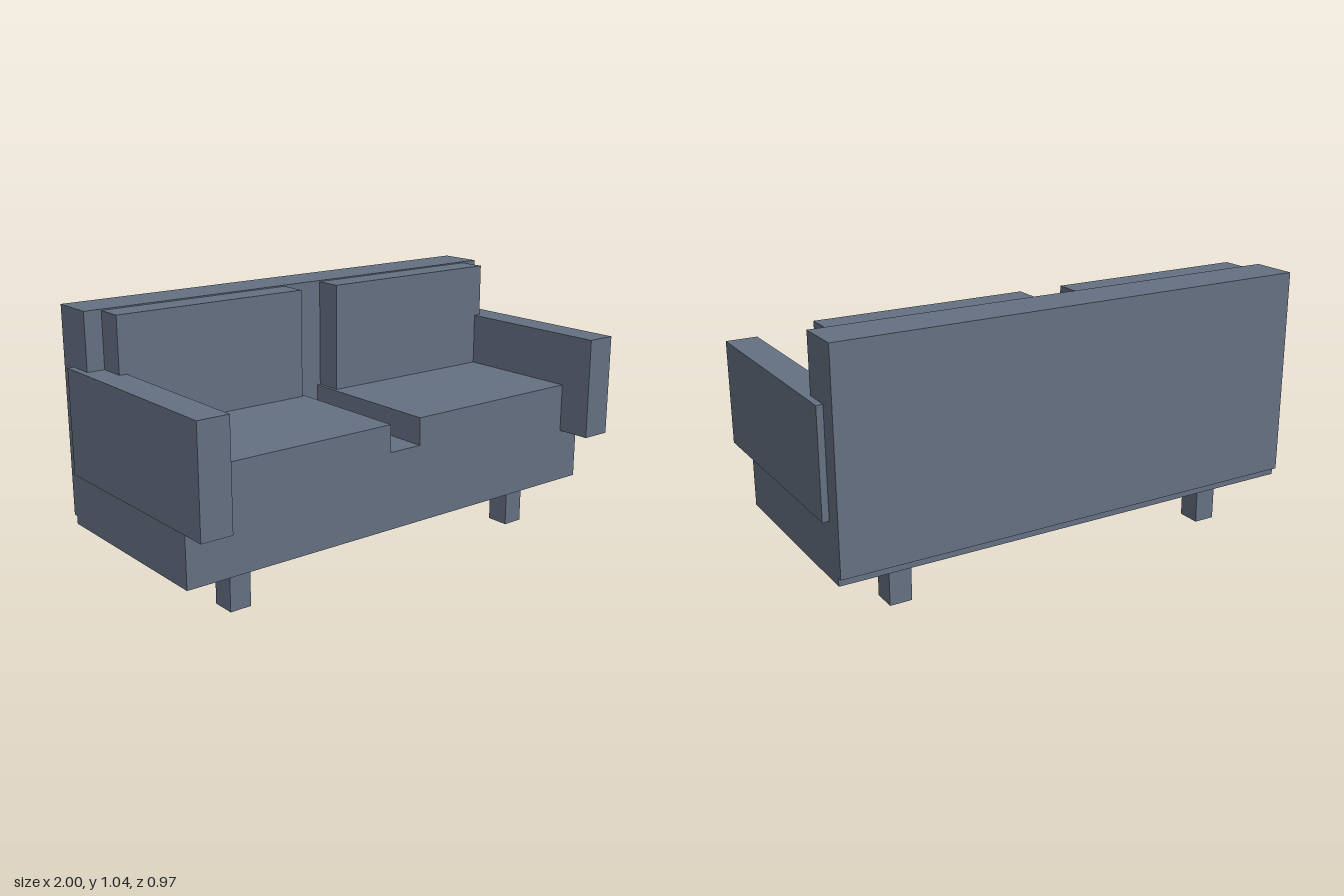
import * as THREE from 'three';

export function createModel() {
  const group = new THREE.Group();
  const fabric = new THREE.MeshStandardMaterial({ color: 0x647082 });
  fabric.name = 'slate blue fabric';

  // Box given by its minimum and maximum on each axis
  function addBox(name, [x0, x1], [y0, y1], [z0, z1]) {
    const mesh = new THREE.Mesh(new THREE.BoxGeometry(x1 - x0, y1 - y0, z1 - z0), fabric);
    mesh.position.set((x0 + x1) / 2, (y0 + y1) / 2, (z0 + z1) / 2);
    mesh.name = name;
    group.add(mesh);
  }

  // The same box on the left (+x) and right (-x)
  function addPair(name, [x0, x1], y, z) {
    addBox(`${name}Left`, [x0, x1], y, z);
    addBox(`${name}Right`, [-x1, -x0], y, z);
  }

  // Frame
  addBox('base', [-0.975, 0.975], [0.18, 0.49], [-0.465, 0.343]);
  addBox('backrest', [-0.975, 0.975], [0.212, 1.04], [-0.485, -0.302]);
  addPair('armrest', [0.875, 1], [0.4, 0.815], [-0.41, 0.485]);

  // Cushions
  addPair('seatCushion', [0.073, 0.875], [0.49, 0.6], [-0.302, 0.343]);
  addPair('backCushion', [0.088, 0.905], [0.6, 1.035], [-0.302, -0.19]);

  // Legs
  addPair('frontLeg', [0.657, 0.745], [0, 0.18], [0.156, 0.252]);
  addPair('backLeg', [0.657, 0.745], [0, 0.18], [-0.371, -0.275]);

  return group;
}
